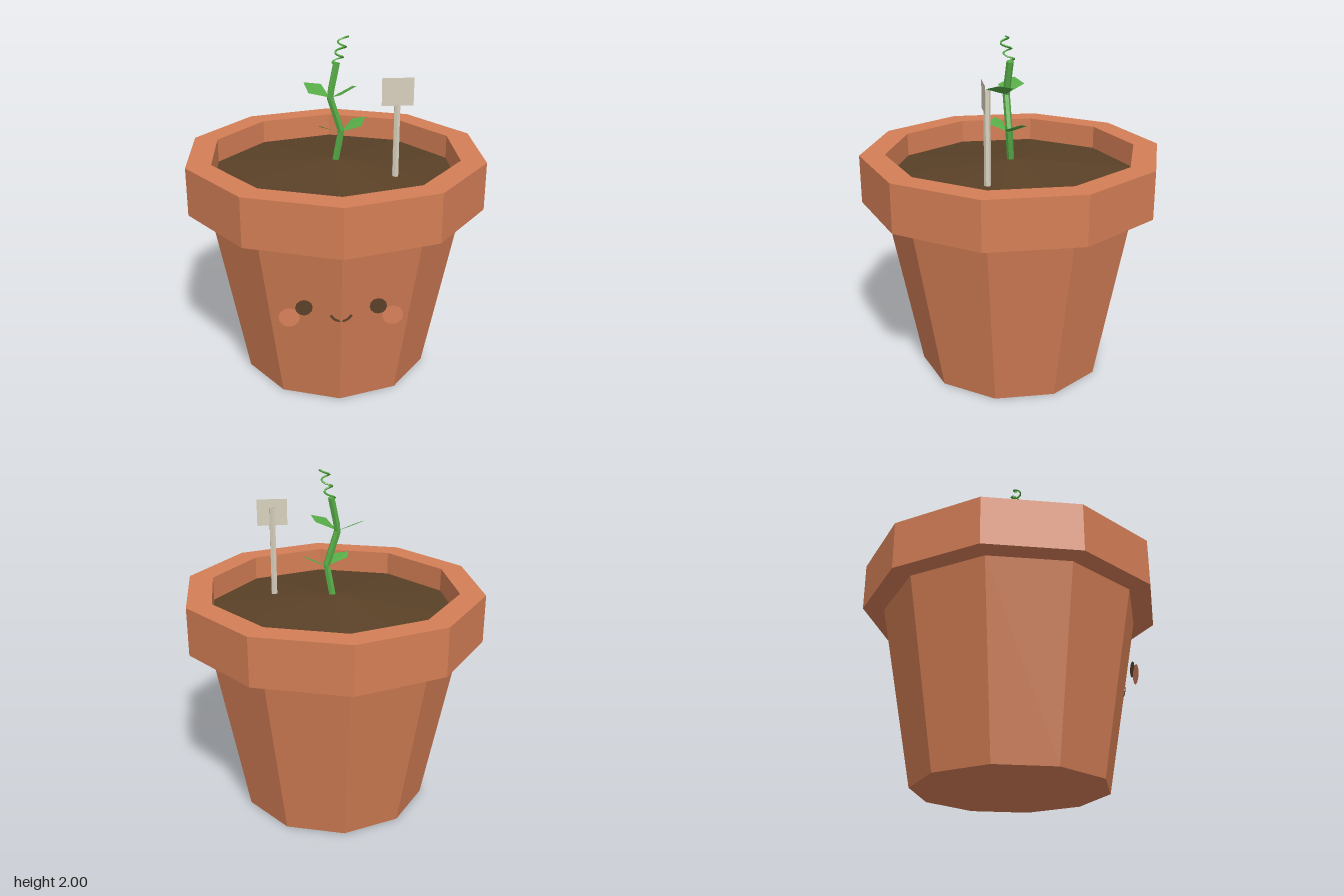
import * as THREE from 'three';

const V = (x, y, z) => new THREE.Vector3(x, y, z);

function material(name, color) {
  const m = new THREE.MeshStandardMaterial({ color, flatShading: true, side: THREE.DoubleSide });
  m.name = name;
  return m;
}

export function createModel() {
  const terracotta = material('terracotta', 0xd37e55);
  const blush = material('blush', 0xd9815a);
  const earth = material('earth', 0x5a4127);
  const green = material('leaf green', 0x57ac47);
  const wood = material('pale wood', 0xd8d0bd);

  const model = new THREE.Group();
  model.name = 'pottedPlant';
  const add = (name, geometry, mat, parent = model) => {
    const mesh = new THREE.Mesh(geometry, mat);
    mesh.name = name;
    parent.add(mesh);
    return mesh;
  };
  const lathe = (pts) => new THREE.LatheGeometry(pts.map(([r, y]) => new THREE.Vector2(r, y)), 10);

  // Ten-sided pot with a heavy rim, and gently mounded soil
  add('pot', lathe([[0, 0], [0.555, 0], [0.752, 1.05], [0.875, 1.05], [0.875, 1.33], [0.73, 1.33], [0.73, 1.17]]), terracotta);
  add('soil', lathe([[0.73, 1.19], [0, 1.28]]), earth);

  // Face: flat discs and a small smile standing just off the front corner
  const face = new THREE.Group();
  face.name = 'face';
  model.add(face);
  for (const [side, s] of [['left', 1], ['right', -1]]) {
    add(side + 'Eye', new THREE.CircleGeometry(0.047, 12), earth, face).position.set(s * 0.2, 0.668, 0.666);
    add(side + 'Cheek', new THREE.CircleGeometry(0.057, 16), blush, face).position.set(s * 0.28, 0.607, 0.66);
  }
  const a = Math.PI * 1.12;
  add('mouth', new THREE.RingGeometry(0.053, 0.067, 12, 1, a, Math.PI * 3 - 2 * a), earth, face).position.set(0, 0.637, 0.661);

  // Zigzag stem
  const plant = new THREE.Group();
  plant.name = 'plant';
  model.add(plant);
  const stemPoints = [V(0, 1.25, 0.005), V(0.035, 1.45, 0.02), V(-0.03, 1.655, 0.027), V(0.01, 1.845, 0.01)];
  const stemPath = new THREE.CurvePath();
  for (let i = 0; i < 3; i++) stemPath.add(new THREE.LineCurve3(stemPoints[i], stemPoints[i + 1]));
  add('stem', new THREE.TubeGeometry(stemPath, 12, 0.021, 6), green, plant);
  const cap = add('stemTip', new THREE.CircleGeometry(0.021, 6), green, plant);
  cap.position.copy(stemPoints[3]);
  cap.lookAt(stemPoints[3].clone().multiplyScalar(2).sub(stemPoints[2]));

  // Four-cornered leaves: base, side, tip, side
  const leaves = {
    upperRightLeaf: [V(-0.03, 1.65, 0.03), V(-0.15, 1.685, 0.06), V(-0.176, 1.722, -0.04), V(-0.075, 1.7, -0.085)],
    upperLeftLeaf: [V(-0.025, 1.65, 0.03), V(0.025, 1.695, 0.15), V(0.118, 1.73, 0.09), V(0.1, 1.71, 0.005)],
    lowerLeftLeaf: [V(0.035, 1.445, 0.02), V(0.145, 1.487, 0.06), V(0.178, 1.52, -0.025), V(0.105, 1.495, -0.075)],
    lowerRightLeaf: [V(0.03, 1.445, 0.025), V(-0.005, 1.485, 0.13), V(-0.1, 1.505, 0.09), V(-0.085, 1.483, 0.045)],
  };
  for (const [name, corners] of Object.entries(leaves)) {
    const g = new THREE.BufferGeometry().setFromPoints(corners);
    g.setIndex([0, 1, 2, 0, 2, 3]);
    g.computeVertexNormals();
    add(name, g, green, plant);
  }

  // Curly tendril on a leaning axis
  const curl = [];
  for (let i = 0; i <= 24; i++) {
    const t = i / 24, angle = t * Math.PI * 5 + Math.PI * 0.9;
    curl.push(V(0.012 + 0.035 * t + 0.026 * Math.cos(angle), 1.842 + 0.153 * t, 0.008 + 0.045 * t + 0.026 * Math.sin(angle)));
  }
  add('tendril', new THREE.TubeGeometry(new THREE.CatmullRomCurve3(curl), 48, 0.006, 4), green, plant);

  // Blank marker: hollow post and a flat plate
  const marker = new THREE.Group();
  marker.name = 'marker';
  model.add(marker);
  add('markerPost', new THREE.CylinderGeometry(0.019, 0.019, 0.525, 6, 1, true), wood, marker).position.set(0.333, 1.4925, 0.18);
  add('markerPlate', new THREE.PlaneGeometry(0.175, 0.155), wood, marker).position.set(0.333, 1.7225, 0.199);

  return model;
}
